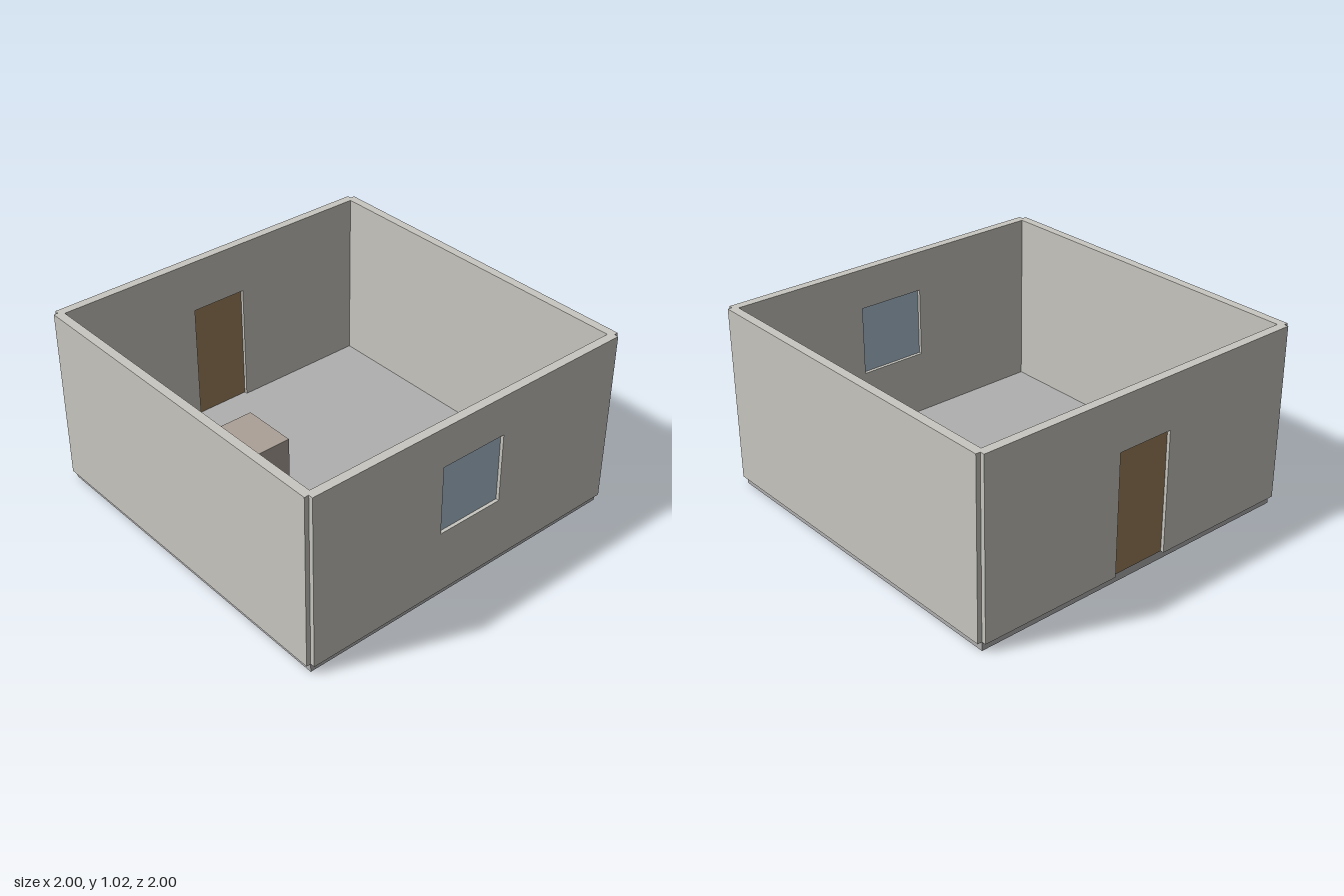
import * as THREE from 'three';

const SPAN = 1.951;   // room length between wall centre lines
const T = 0.049;      // wall and floor thickness
const H = 0.976;      // wall height
const PANE = 0.012;   // thickness of window pane and door leaf
const MID = SPAN / 2; // distance of wall centre lines from the middle

const material = (color) => new THREE.MeshStandardMaterial({ color, flatShading: true });

function addMesh(parent, name, geometry, mat, x, y, z) {
  const mesh = new THREE.Mesh(geometry, mat);
  mesh.name = name;
  mesh.position.set(x, y, z);
  parent.add(mesh);
  return mesh;
}

// Wall panel standing on y = 0 with an optional rectangular opening
function wallGeometry(opening) {
  const shape = new THREE.Shape();
  shape.moveTo(-MID, 0);
  if (opening && opening.y0 === 0) {
    // a doorway notches the bottom edge
    shape.lineTo(-opening.w / 2, 0);
    shape.lineTo(-opening.w / 2, opening.y1);
    shape.lineTo(opening.w / 2, opening.y1);
    shape.lineTo(opening.w / 2, 0);
  }
  shape.lineTo(MID, 0);
  shape.lineTo(MID, H);
  shape.lineTo(-MID, H);
  shape.closePath();
  if (opening && opening.y0 > 0) {
    const { w, y0, y1 } = opening;
    const hole = new THREE.Path();
    hole.moveTo(-w / 2, y0);
    hole.lineTo(-w / 2, y1);
    hole.lineTo(w / 2, y1);
    hole.lineTo(w / 2, y0);
    hole.closePath();
    shape.holes.push(hole);
  }
  const geometry = new THREE.ExtrudeGeometry(shape, { depth: T, bevelEnabled: false });
  geometry.translate(0, 0, -T / 2);
  return geometry;
}

export function createModel() {
  const room = new THREE.Group();
  room.name = 'room';

  const wallMat = material(0xc9c7c1);
  const windowOpening = { w: 0.39, y0: 0.361, y1: 0.751 };
  const doorOpening = { w: 0.327, y0: 0, y1: 0.683 };

  // Floor slab
  addMesh(room, 'floor', new THREE.BoxGeometry(SPAN, T, SPAN), material(0xb0b0b0), 0, T / 2, 0);

  // Four walls, overlapping at the corners so each leaves a small notch
  addMesh(room, 'frontWall', wallGeometry(windowOpening), wallMat, 0, T, MID);
  addMesh(room, 'backWall', wallGeometry(doorOpening), wallMat, 0, T, -MID);
  for (const side of [1, -1]) {
    const wall = addMesh(room, side > 0 ? 'leftWall' : 'rightWall', wallGeometry(), wallMat, side * MID, T, 0);
    wall.rotation.y = Math.PI / 2;
  }

  // Thin panels set in the middle of the wall thickness
  const fill = (name, { w, y0, y1 }, color, z) =>
    addMesh(room, name, new THREE.BoxGeometry(w, y1 - y0, PANE), material(color), 0, T + (y0 + y1) / 2, z);
  fill('windowPane', windowOpening, 0xadc1d3, MID);
  fill('door', doorOpening, 0x9e815b, -MID);

  // Block standing on the floor
  addMesh(room, 'crate', new THREE.BoxGeometry(0.325, 0.258, 0.325), material(0xaca198), -0.325, T + 0.129, -0.327);

  return room;
}
